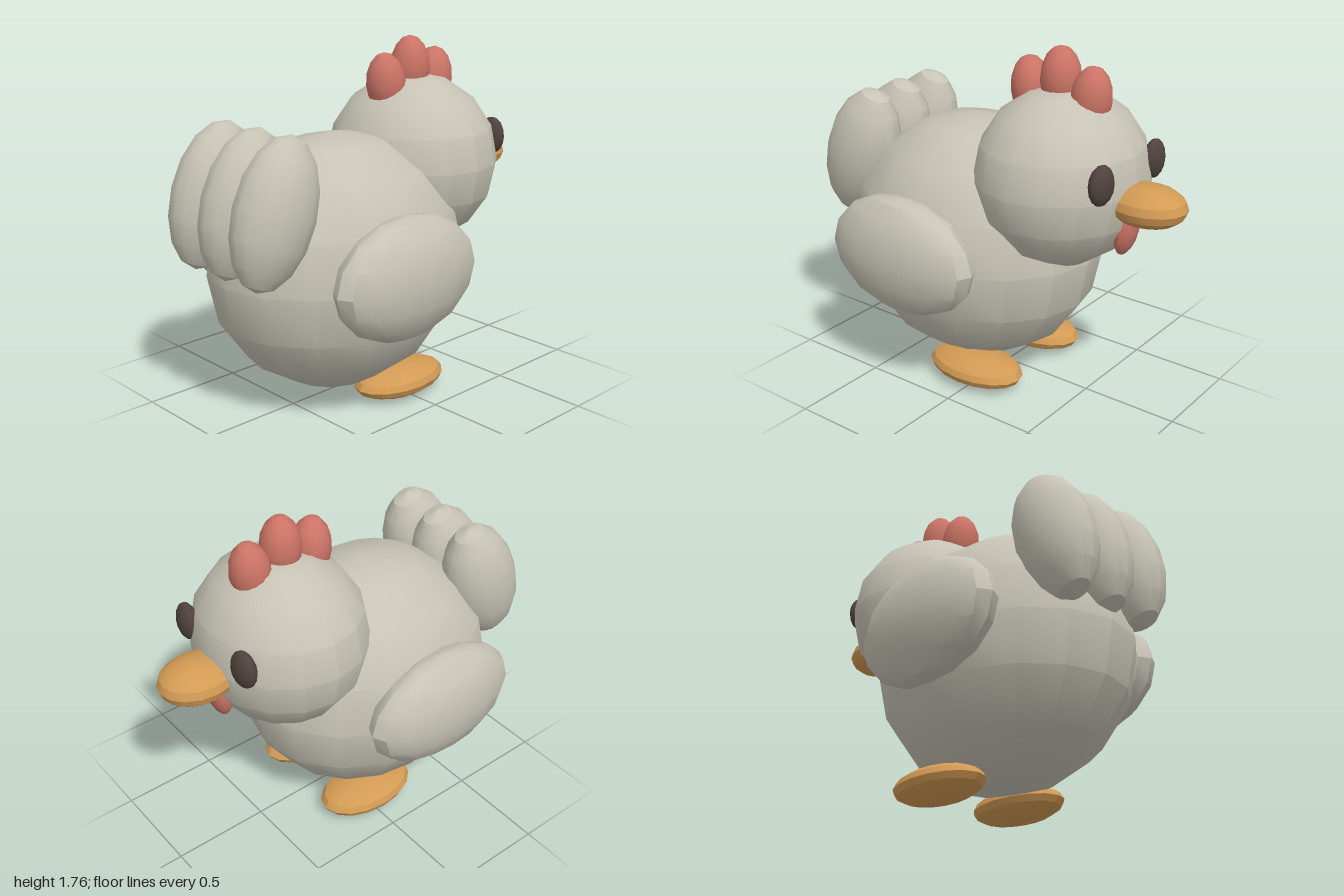
import * as THREE from 'three';
import { toCreasedNormals } from 'three/addons/utils/BufferGeometryUtils.js';

function material(name, color) {
  const m = new THREE.MeshStandardMaterial({ color });
  m.name = name;
  return m;
}

export function createModel() {
  const hen = new THREE.Group();
  hen.name = 'hen';

  const feather = material('featherGrey', 0xc6c2b4);
  const red = material('combRed', 0xcc7466);
  const orange = material('beakOrange', 0xd29a54);
  const dark = material('eyeBrown', 0x50423e);

  // Low-poly ellipsoid: position, radii, tilt about x and turn about y
  function blob(name, mat, [x, y, z], [rx, ry, rz], tilt = 0, turn = 0) {
    const sphere = new THREE.SphereGeometry(1, 16, 8).scale(rx, ry, rz);
    const mesh = new THREE.Mesh(toCreasedNormals(sphere, 0.5), mat);
    mesh.name = name;
    mesh.position.set(x, y, z);
    mesh.rotation.set(tilt, turn, 0);
    hen.add(mesh);
  }

  // Body and head
  blob('body', feather, [0, 0.7, 0.2], [0.57, 0.645, 0.69]);
  blob('head', feather, [0, 1.13, -0.33], [0.455, 0.445, 0.425]);

  // Tail feathers
  for (const x of [-0.23, 0, 0.23]) {
    blob('tailFeather', feather, [x, 1.085, 0.775], [0.167, 0.36, 0.208], -0.32);
  }

  // Paired parts
  for (const [side, s] of [['left', 1], ['right', -1]]) {
    blob(side + 'Wing', feather, [s * 0.53, 0.74, 0.245], [0.17, 0.298, 0.435]);
    blob(side + 'Foot', orange, [s * 0.255, 0.08, 0.012], [0.167, 0.08, 0.272]);
    blob(side + 'Eye', dark, [s * 0.232, 1.225, -0.695], [0.077, 0.097, 0.047], 0, s * -0.1);
  }

  // Comb
  blob('combFront', red, [0, 1.53, -0.48], [0.1, 0.16, 0.1], -0.1);
  blob('combMiddle', red, [0, 1.6, -0.31], [0.1, 0.16, 0.1]);
  blob('combBack', red, [0, 1.53, -0.14], [0.1, 0.16, 0.1], 0.1);

  // Beak and wattle
  blob('beak', orange, [0, 1.085, -0.8], [0.16, 0.1, 0.2]);
  blob('wattle', red, [0, 0.94, -0.7], [0.075, 0.138, 0.052], -0.2);

  return hen;
}
